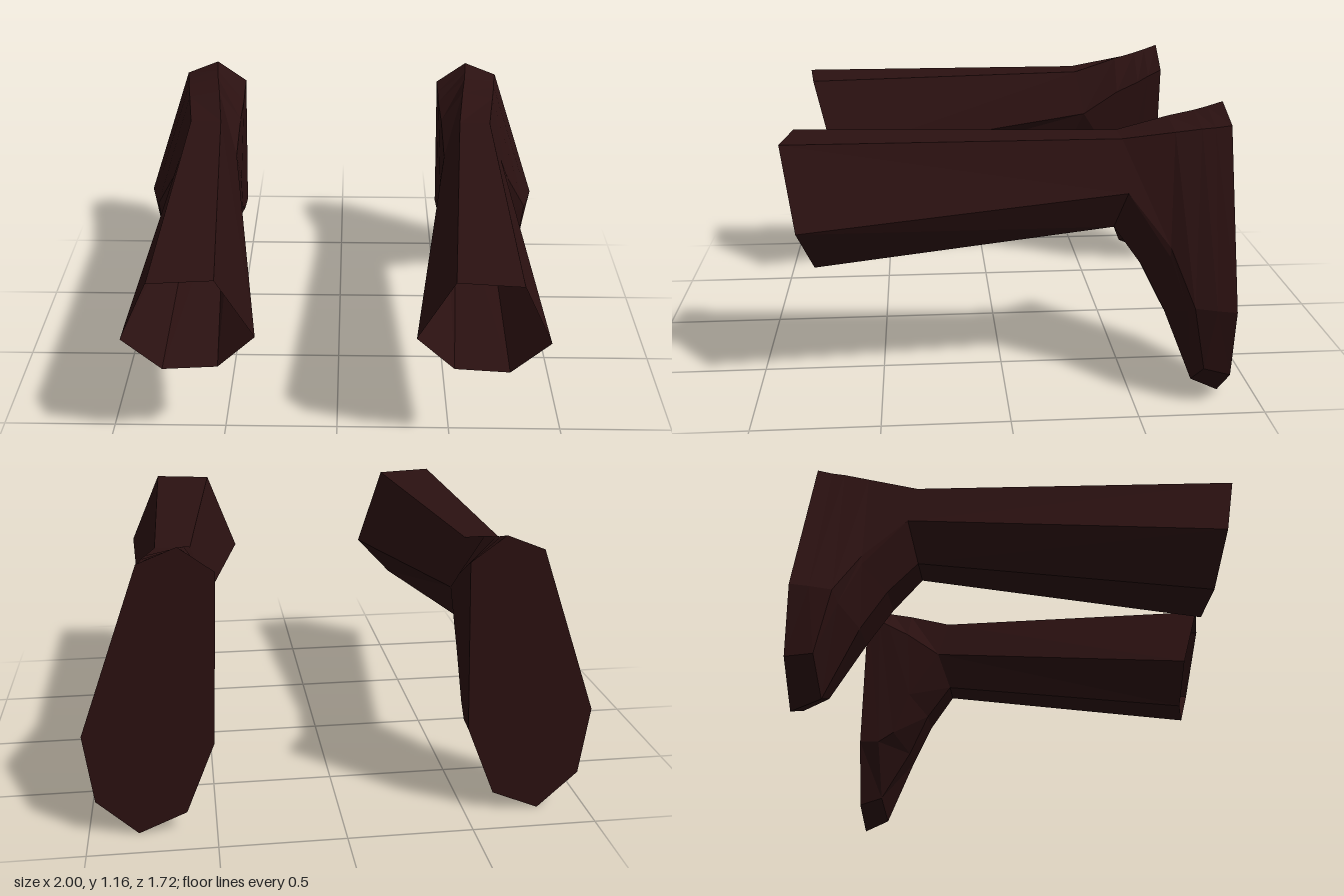
import * as THREE from 'three';

// Cross-sections of the +x limb, clockwise from the inner edge; [x, y, z]
const openEnd = [
  [0.32, 0.70, 0.74], [0.45, 1.035, 0.83], [0.70, 1.04, 0.86], [0.84, 0.73, 0.80],
  [0.84, 0.73, 0.80], [0.70, 0.54, 0.75], [0.48, 0.53, 0.72], [0.32, 0.70, 0.74],
];
const bend = [
  [0.50, 0.84, -0.49], [0.56, 1.04, -0.45], [0.70, 1.04, -0.45], [0.77, 0.84, -0.47],
  [0.77, 0.84, -0.47], [0.70, 0.68, -0.43], [0.56, 0.68, -0.43], [0.50, 0.84, -0.49],
];
const knuckle = [
  [0.49, 0.95, -0.65], [0.585, 1.10, -0.65], [0.73, 1.07, -0.65], [0.84, 0.64, -0.63],
  [0.84, 0.60, -0.63], [0.74, 0.53, -0.54], [0.58, 0.53, -0.54], [0.50, 0.62, -0.63],
];
const shin = [
  [0.48, 1.00, -0.75], [0.60, 1.125, -0.75], [0.745, 1.085, -0.75], [0.95, 0.43, -0.71],
  [0.90, 0.40, -0.695], [0.78, 0.35, -0.63], [0.63, 0.35, -0.63], [0.51, 0.42, -0.70],
];
const foot = [
  [0.478, 1.03, -0.80], [0.605, 1.14, -0.80], [0.75, 1.09, -0.80], [0.98, 0.43, -0.79],
  [0.945, 0.17, -0.76], [0.80, 0.05, -0.75], [0.635, 0.12, -0.76], [0.505, 0.37, -0.77],
];
const backPlate = [
  [0.475, 1.06], [0.61, 1.16], [0.76, 1.10], [1.0, 0.43],
  [0.965, 0.15], [0.805, 0], [0.615, 0.08], [0.50, 0.37],
].map(([x, y]) => [x, y, -0.86]);

// Skins consecutive rings with flat facets; side -1 mirrors across x
function loft(rings, side, capped) {
  const out = [];
  const same = (p, q) => p.every((v, i) => v === q[i]);
  const tri = (a, b, c) => {
    if (same(a, b) || same(b, c) || same(a, c)) return;
    for (const p of side > 0 ? [a, b, c] : [a, c, b]) out.push(side * p[0], p[1], p[2]);
  };
  for (let i = 0; i < rings.length - 1; i++) {
    const near = rings[i], far = rings[i + 1], n = near.length;
    for (let j = 0; j < n; j++) {
      const k = (j + 1) % n;
      if (same(near[j], near[k])) {
        tri(near[j], far[k], far[j]);
      } else {
        tri(near[j], near[k], far[k]);
        tri(near[j], far[k], far[j]);
      }
    }
  }
  const last = rings[rings.length - 1];
  if (capped) for (let j = 1; j < last.length - 1; j++) tri(last[0], last[j], last[j + 1]);
  const geometry = new THREE.BufferGeometry();
  geometry.setAttribute('position', new THREE.Float32BufferAttribute(out, 3));
  geometry.computeVertexNormals();
  return geometry;
}

export function createModel() {
  const model = new THREE.Group();
  model.name = 'limbPair';
  const darkMaroon = new THREE.MeshStandardMaterial({
    color: 0x2b1111, flatShading: true, side: THREE.DoubleSide,
  });
  darkMaroon.name = 'darkMaroon';

  for (const [label, side] of [['left', 1], ['right', -1]]) {
    const limb = new THREE.Group();
    limb.name = label + 'Limb';

    // Hollow forward tube, open at the front
    const tube = new THREE.Mesh(loft([openEnd, bend], side, false), darkMaroon);
    tube.name = label + 'ForwardTube';

    // Bent lower part, cut flat at the back
    const lower = new THREE.Mesh(loft([bend, knuckle, shin, foot, backPlate], side, true), darkMaroon);
    lower.name = label + 'LowerLimb';

    limb.add(tube, lower);
    model.add(limb);
  }
  return model;
}
